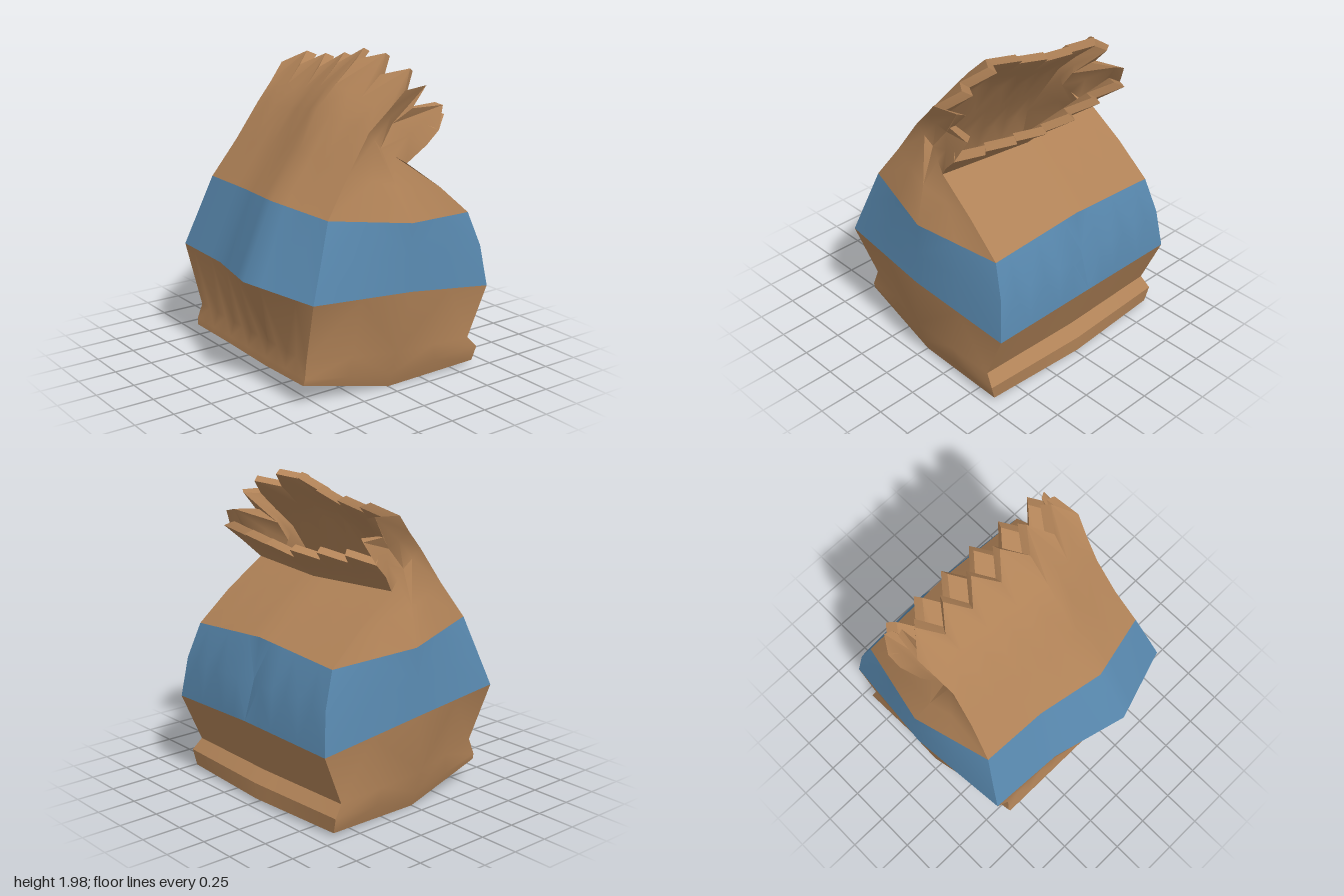
import * as THREE from 'three';
import { toCreasedNormals } from 'three/addons/utils/BufferGeometryUtils.js';

// Cross-sections from bottom to rim:
// front corner [x,y,z], front bulge [y,z], side middle [x,y,z], back corner [x,y,z], back middle [y,z]
const ROWS = [
  [[0.61, 0.14, 0.59], [0.13, 0.59], [0.66, 0.005, 0], [0.69, 0.03, -0.65], [0.03, -0.69]],
  [[0.62, 0.18, 0.585], [0.18, 0.585], [0.695, 0.1, 0], [0.72, 0.13, -0.66], [0.13, -0.69]],
  [[0.6, 0.28, 0.56], [0.28, 0.565], [0.735, 0.25, 0], [0.7, 0.2, -0.6], [0.2, -0.62]],
  [[0.73, 0.67, 0.6], [0.71, 0.76], [0.785, 0.635, -0.07], [0.715, 0.52, -0.735], [0.55, -0.76]],
  [[0.685, 0.9, 0.515], [0.935, 0.65], [0.776, 0.84, -0.07], [0.68, 0.78, -0.7], [0.8, -0.735]],
  [[0.64, 1.12, 0.435], [1.16, 0.54], [0.765, 1.05, -0.08], [0.645, 1.0, -0.62], [1.05, -0.635]],
  [[0.605, 1.35, 0.27], [1.43, 0.33], [0.67, 1.26, -0.03], [0.635, 1.19, -0.4], [1.21, -0.43]],
  [[0.59, 1.58, 0.11], [1.67, 0.195], [0.56, 1.47, 0], [0.62, 1.37, -0.15], [1.36, -0.22]],
  [[0.615, 1.7, -0.01], [1.8, 0.07], [0.54, 1.6, -0.1], [0.68, 1.48, -0.25], [1.44, -0.3]],
  [[0.64, 1.81, -0.11], [1.94, -0.08], [0.6, 1.69, -0.2], [0.69, 1.56, -0.33], [1.5, -0.37]],
];
const RIM = ROWS.length - 1;
const N = 12, S = 4, COLS = 2 * (N + S); // columns per wide panel, per side panel, in total
const lerp = THREE.MathUtils.lerp;

// Piecewise linear value through [u, value] pairs
function along(pairs, u) {
  for (let i = 1; i < pairs.length; i++) {
    const [u0, v0] = pairs[i - 1], [u1, v1] = pairs[i];
    if (u <= u1 + 1e-6) return lerp(v0, v1, (u - u0) / (u1 - u0));
  }
  return pairs[pairs.length - 1][1];
}

// Side panel point, t runs from front corner to back corner
function sidePoint([f, , s, b], t, sign) {
  const p = [0, 1, 2].map((k) => along([[0, f[k]], [0.5, s[k]], [1, b[k]]], t));
  return new THREE.Vector3(p[0] * sign, p[1], p[2]);
}

function outerPoint(r, col) {
  const c = col % COLS, row = ROWS[r], [f, fm, , b, bm] = row;
  let p;
  if (c < N) {
    const u = -1 + (2 * c) / N;
    const bulge = along([[-1, 0], [-1 / 3, 0.17], [1 / 3, 1], [1, 0]], u);
    p = new THREE.Vector3(f[0] * u, lerp(f[1], fm[0], bulge), lerp(f[2], fm[1], bulge));
  } else if (c < N + S) {
    p = sidePoint(row, (c - N) / S, 1);
  } else if (c < 2 * N + S) {
    const u = 1 - (2 * (c - N - S)) / N, m = 1 - Math.abs(u);
    p = new THREE.Vector3(b[0] * u, lerp(b[1], bm[0], m), lerp(b[2], bm[1], m));
    if (r === 4 && c === N + S + N / 2) p.z += 0.05; // crumple in the back
  } else {
    p = sidePoint(row, 1 - (c - 2 * N - S) / S, -1);
  }
  // Every second rim point is a tooth of the torn edge
  if (r === RIM && c % 2 === 1) p.add(new THREE.Vector3(0, 0.07, -0.13));
  return p;
}

// Inner face lies one paper thickness inside the outer one
function innerPoint(r, col) {
  const c = col % COLS, p = outerPoint(r, c);
  const side = along([[0, 1], [N, 1], [N + S, -1], [2 * N + S, -1], [COLS, 1]], c);
  return new THREE.Vector3(p.x * 0.93, p.y - 0.025 * side, p.z - 0.05 * side);
}

function fromTriangles(points) {
  const g = new THREE.BufferGeometry().setFromPoints(points);
  return toCreasedNormals(g, 0.65);
}

// Closed strip of quads between rows r0 and r1, at(row, column) gives the points
function shell(at, r0, r1, flip = false) {
  const pts = [];
  for (let r = r0; r < r1; r++) {
    for (let c = 0; c < COLS; c++) {
      const a = at(r, c), b = at(r, c + 1), d = at(r + 1, c), e = at(r + 1, c + 1);
      // Diagonals follow the teeth
      const tris = c % 2 ? [a, b, d, b, e, d] : [a, b, e, a, e, d];
      if (flip) tris.reverse();
      pts.push(...tris);
    }
  }
  return fromTriangles(pts);
}

// Fan closing a ring with a centre point
function cap(at, centre, up) {
  const pts = [];
  for (let c = 0; c < COLS; c++) {
    if (up) pts.push(centre, at(c), at(c + 1));
    else pts.push(centre, at(c + 1), at(c));
  }
  return fromTriangles(pts);
}

export function createModel() {
  const paper = new THREE.MeshStandardMaterial({ color: 0xb08257 });
  paper.name = 'brown paper';
  const blue = new THREE.MeshStandardMaterial({ color: 0x5888ae });
  blue.name = 'blue band';

  const bag = new THREE.Group();
  bag.name = 'paperBag';
  const add = (name, geometry, material) => {
    const mesh = new THREE.Mesh(geometry, material);
    mesh.name = name;
    bag.add(mesh);
  };

  // Outside
  add('lowerBag', shell(outerPoint, 0, 3), paper);
  add('blueBand', shell(outerPoint, 3, 5), blue);
  add('upperBag', shell(outerPoint, 5, RIM), paper);
  add('bagBottom', cap((c) => outerPoint(0, c), new THREE.Vector3(0, 0.04, 0), false), paper);

  // Torn edge and inside
  add('tornRim', shell((r, c) => (r === 0 ? outerPoint(RIM, c) : innerPoint(RIM, c)), 0, 1), paper);
  add('bagInside', shell(innerPoint, 2, RIM, true), paper);
  add('insideFloor', cap((c) => innerPoint(2, c), new THREE.Vector3(0, 0.24, 0), true), paper);
  return bag;
}
